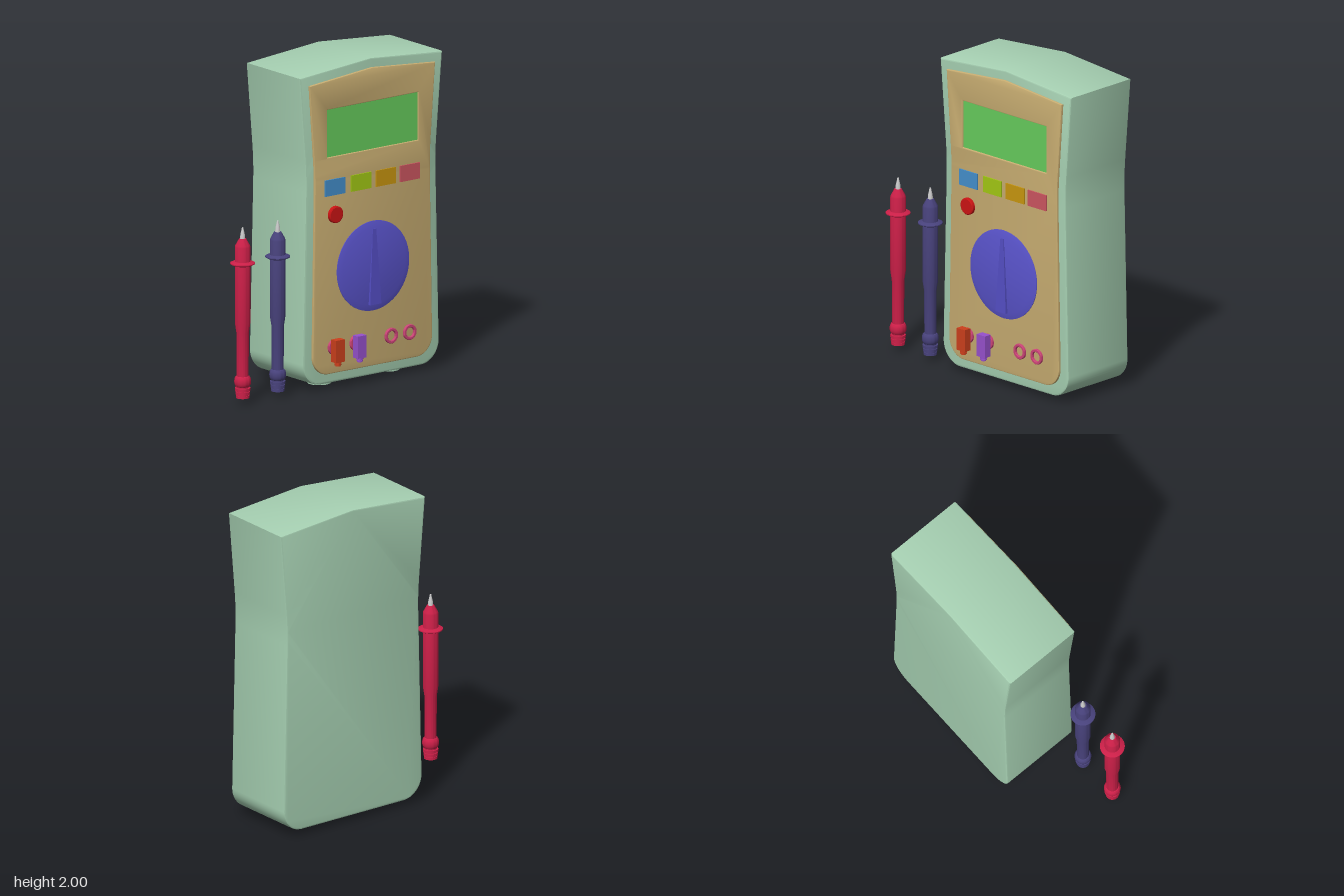
import * as THREE from 'three';
import { toCreasedNormals } from 'three/addons/utils/BufferGeometryUtils.js';

const FRONT = 0.215;   // depth of the case front
const PANEL = 0.23;    // depth of the panel front

function add(parent, name, geo, color, x = 0, y = 0, z = 0) {
  const mesh = new THREE.Mesh(geo, new THREE.MeshStandardMaterial({ color }));
  mesh.name = name;
  mesh.position.set(x, y, z);
  parent.add(mesh);
  return mesh;
}

// Waisted outline with a peaked top and rounded bottom corners
function outline({ top, peak, topY, neck, neckY, base, baseY, r }) {
  const s = new THREE.Shape();
  const k = 0.1;
  s.moveTo(0, baseY);
  s.lineTo(base - r, baseY);
  s.bezierCurveTo(base - r * 0.45, baseY, base, baseY + r * 0.45, base, baseY + r);
  s.lineTo(neck + 0.002, neckY - k);
  s.quadraticCurveTo(neck, neckY, neck + (top - neck) * k / (topY - neckY), neckY + k);
  s.lineTo(top, topY);
  s.lineTo(0, peak);
  s.lineTo(-top, topY);
  s.lineTo(-neck - (top - neck) * k / (topY - neckY), neckY + k);
  s.quadraticCurveTo(-neck, neckY, -neck - 0.002, neckY - k);
  s.lineTo(-base, baseY + r);
  s.bezierCurveTo(-base, baseY + r * 0.45, -base + r * 0.45, baseY, -base + r, baseY);
  s.lineTo(0, baseY);
  return s;
}

// Extrusion whose bevels stay inside the outline, spanning z0 to z1
function slab(shape, z0, z1, bevel) {
  const geo = new THREE.ExtrudeGeometry(shape, {
    depth: z1 - z0 - 2 * bevel, bevelEnabled: true, bevelThickness: bevel,
    bevelSize: bevel, bevelOffset: -bevel, bevelSegments: 2, curveSegments: 14,
  });
  geo.translate(0, 0, z0 + bevel);
  return toCreasedNormals(geo, 0.5);
}

// Revolved profile around y
function lathe(points, segments = 40) {
  const geo = new THREE.LatheGeometry(points.map(([r, y]) => new THREE.Vector2(r, y)), segments);
  return toCreasedNormals(geo, 0.5);
}

// Revolved profile pointing out of the panel
const faceLathe = (points, segments) => lathe(points, segments).rotateX(Math.PI / 2);

function rectPath(x0, x1, y0, y1) {
  return new THREE.Path([[x0, y0], [x0, y1], [x1, y1], [x1, y0]].map(([x, y]) => new THREE.Vector2(x, y)));
}

function makeMeter() {
  const meter = new THREE.Group();
  meter.name = 'meter';

  // Case, panel and recessed display
  add(meter, 'case', slab(outline({ top: 0.55, peak: 2, topY: 1.955, neck: 0.498, neckY: 1.34,
    base: 0.525, baseY: 0.035, r: 0.14 }), -0.3, FRONT, 0.01), 0xa6d0b2);
  const face = outline({ top: 0.483, peak: 1.942, topY: 1.9, neck: 0.441, neckY: 1.33,
    base: 0.46, baseY: 0.095, r: 0.12 });
  face.holes.push(rectPath(-0.348, 0.352, 1.437, 1.733));
  add(meter, 'panel', slab(face, FRONT - 0.01, PANEL, 0.006), 0xc9ae72);
  add(meter, 'display', new THREE.BoxGeometry(0.7, 0.296, 0.02), 0x66cc5c, 0.002, 1.585, FRONT - 0.005);

  // Row of function buttons
  const buttons = [[-0.294, 0x448fcc], [-0.093, 0xa2c814], [0.098, 0xc8960f], [0.283, 0xcc5560]];
  for (const [x, color] of buttons)
    add(meter, 'functionButton', new THREE.BoxGeometry(0.153, 0.1, 0.03), color, x, 1.25, PANEL - 0.007);

  // Round power button
  add(meter, 'powerButton', faceLathe([[0.052, -0.01], [0.052, 0.018], [0.046, 0.022], [0, 0.022]], 32),
    0xcc1414, -0.294, 1.08, PANEL);

  // Rotary dial with a wedge pointer that rises towards the bottom
  add(meter, 'dial', faceLathe([[0.278, -0.005], [0.278, 0.004], [0.24, 0.014], [0, 0.014]], 64),
    0x5a54cc, 0, 0.716, PANEL);
  const pointer = new THREE.BoxGeometry(1, 0.465, 1);
  const p = pointer.attributes.position;
  for (let i = 0; i < p.count; i++) {
    const low = p.getY(i) < 0;
    p.setX(i, Math.sign(p.getX(i)) * (low ? 0.043 : 0.013));
    p.setZ(i, p.getZ(i) < 0 ? 0 : (low ? 0.03 : 0.018));
  }
  pointer.computeVertexNormals();
  add(meter, 'dialPointer', pointer, 0x544ec4, 0, 0.713, PANEL);

  // Sockets
  for (const x of [-0.3, -0.132, 0.138, 0.28])
    add(meter, 'socket', faceLathe([[0.03, -0.005], [0.048, -0.005], [0.048, 0.012], [0.045, 0.015],
      [0.033, 0.015], [0.03, 0.012], [0.03, -0.005]], 32), 0xcc4477, x, 0.26, PANEL);

  // Plugs in the two left-hand sockets
  for (const [x, color] of [[-0.3, 0xcc3f1c], [-0.132, 0x9650cc]]) {
    const plug = new THREE.Group();
    plug.name = 'plug';
    plug.position.set(x, 0, 0.27);
    add(plug, 'plugBody', new THREE.BoxGeometry(0.068, 0.138, 0.048), color, 0, 0.244, 0);
    add(plug, 'plugPin', new THREE.CylinderGeometry(0.016, 0.016, 0.05, 20).rotateX(Math.PI / 2),
      color, 0, 0.26, -0.03);
    add(plug, 'plugSleeve', lathe([[0, 0.148], [0.016, 0.148], [0.016, 0.154], [0.02, 0.154], [0.02, 0.161],
      [0.016, 0.161], [0.016, 0.166], [0.022, 0.166], [0.022, 0.178]], 20), color);
    meter.add(plug);
  }

  // Feet
  for (const x of [-0.27, 0.258])
    add(meter, 'foot', new THREE.CylinderGeometry(0.073, 0.073, 0.045, 36), 0xa6d0b2, x, 0.0225, 0.053);

  // Turn the panel towards +x
  meter.rotation.y = Math.PI / 2;
  meter.position.z = -0.235;
  return meter;
}

function makeProbe(color, z) {
  const probe = new THREE.Group();
  probe.name = 'probe';
  probe.position.set(0.165, 0, z);

  // Ribbed strain relief, rounded collar, then the grip
  const profile = [[0, 0.035]];
  for (let i = 0; i < 3; i++) {
    const y = 0.035 + i * 0.023;
    const r = 0.041 + i * 0.003;
    profile.push([r, y], [r, y + 0.016], [0.036, y + 0.016], [0.036, y + 0.023]);
  }
  for (let i = 0; i <= 8; i++) {
    const a = (i / 8) * Math.PI;
    profile.push([0.036 + 0.015 * Math.sin(a), 0.137 - 0.033 * Math.cos(a)]);
  }
  profile.push([0.036, 0.18], [0.038, 0.44], [0.047, 0.5], [0.047, 0.97], [0.044, 0.98],
    [0.022, 1.02], [0, 1.02]);
  add(probe, 'grip', lathe(profile), color);

  // Finger guard
  add(probe, 'fingerGuard', lathe([[0.04, 0.853], [0.06, 0.857], [0.075, 0.865], [0.075, 0.871],
    [0.06, 0.878], [0.04, 0.882]]), color);

  // Metal tip
  add(probe, 'tip', lathe([[0.016, 1.015], [0.014, 1.045], [0.007, 1.075], [0.005, 1.088], [0, 1.091]], 24), 0xcccccc);
  return probe;
}

export function createModel() {
  const model = new THREE.Group();
  model.name = 'multimeterSet';
  model.add(makeMeter(), makeProbe(0xcc1f48, 0.715), makeProbe(0x48427c, 0.445));
  return model;
}
